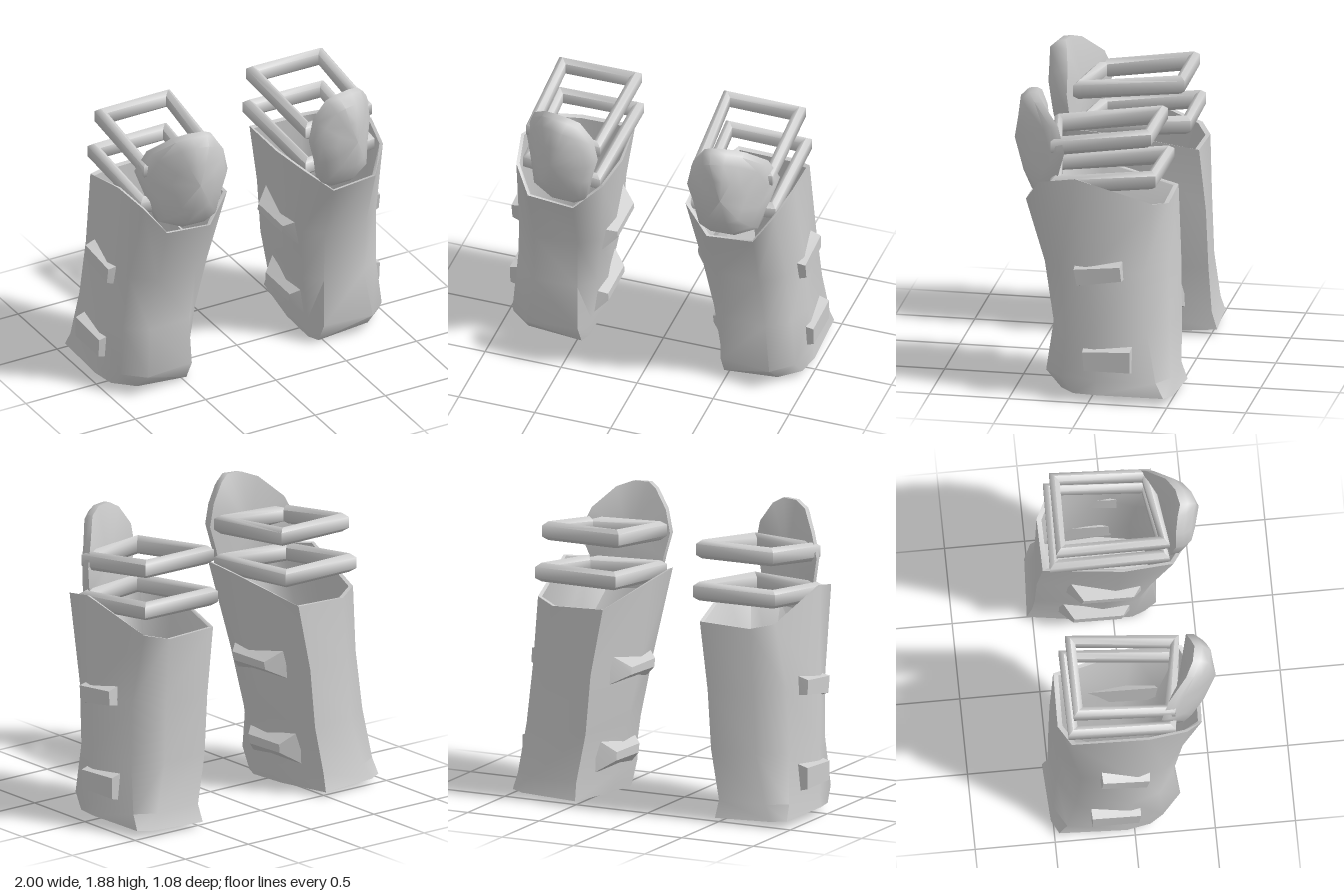
import * as THREE from 'three';
import { toCreasedNormals } from 'three/addons/utils/BufferGeometryUtils.js';

const armour = new THREE.MeshStandardMaterial({ color: 0xcccccc });
armour.name = 'light grey armour';

// Skin a closed solid over rings of [x, y, z]; ends are capped, or joined when loop is set.
function loft(rings, side, { loop = false, crease = 0.9, capA, capB } = {}) {
  const n = rings[0].length, m = rings.length;
  const pts = rings.flat().map(p => [p[0] * side, p[1], p[2]]);
  const index = [];
  for (let r = 0; r < (loop ? m : m - 1); r++) {
    for (let i = 0; i < n; i++) {
      const j = (i + 1) % n, s = ((r + 1) % m) * n;
      index.push(r * n + i, r * n + j, s + j, r * n + i, s + j, s + i);
    }
  }
  if (!loop) {
    const mean = ring => [0, 1, 2].map(k => ring.reduce((a, p) => a + p[k], 0) / n);
    const cap = (ring, start, centre, flip) => {
      const c = centre || mean(ring);
      const id = pts.push([c[0] * side, c[1], c[2]]) - 1;
      for (let i = 0; i < n; i++) {
        const a = start + i, b = start + (i + 1) % n;
        flip ? index.push(id, b, a) : index.push(id, a, b);
      }
    };
    cap(rings[0], 0, capA, true);
    cap(rings[m - 1], (m - 1) * n, capB, false);
  }
  // Turn the faces outward, whichever side is built
  let volume = 0;
  const v = pts.map(p => new THREE.Vector3(...p));
  for (let i = 0; i < index.length; i += 3) {
    volume += v[index[i]].dot(v[index[i + 1]].clone().cross(v[index[i + 2]]));
  }
  if (volume < 0) index.reverse();
  const g = new THREE.BufferGeometry();
  g.setAttribute('position', new THREE.Float32BufferAttribute(pts.flat(), 3));
  g.setIndex(index);
  return toCreasedNormals(g, crease);
}

// Shin shell sections: front, round the outside to the back, then the inside
const base = [[.47, .005, .2], [.82, .035, .2], [.95, .045, .1], [.98, .05, -.05], [.96, .045, -.47],
  [.87, .04, -.515], [.49, .03, -.535], [.44, .01, -.15], [.44, 0, .12]];
const level = (y, xz) => xz.map(([x, z]) => [x, y, z]);
const ankle = level(.14, [[.47, .27], [.8, .3], [.93, .18], [.97, -.05], [.95, -.42], [.82, -.495],
  [.5, -.5], [.415, -.1], [.425, .14]]);
const calf = level(.45, [[.48, .25], [.76, .26], [.9, .16], [.957, -.02], [.92, -.36], [.74, -.47],
  [.44, -.49], [.37, -.05], [.385, .15]]);
const shin = level(.83, [[.46, .3], [.74, .32], [.88, .2], [.94, .02], [.89, -.33], [.72, -.46],
  [.41, -.48], [.31, 0], [.335, .22]]);
const rim = [[.44, 1.21, .45], [.74, 1.23, .44], [.85, 1.38, .34], [.9, 1.43, .1], [.83, 1.27, -.38],
  [.69, 1.24, -.455], [.34, 1.25, -.45], [.25, 1.35, .05], [.27, 1.36, .36]];

// Shrink a section toward its centre for the inner wall
function inset(ring, k, y) {
  const cx = ring.reduce((a, p) => a + p[0], 0) / ring.length;
  const cz = ring.reduce((a, p) => a + p[2], 0) / ring.length;
  return ring.map(p => [cx + (p[0] - cx) * k, y ?? p[1] - 0.005, cz + (p[2] - cz) * k]);
}

// Knee pad outline, leaning back toward the outside
const padRim = [[.47, 1.875, .42], [.57, 1.875, .4], [.66, 1.84, .35], [.77, 1.72, .23], [.83, 1.57, .18],
  [.78, 1.4, .23], [.74, 1.25, .28], [.6, 1.2, .33], [.45, 1.21, .35], [.37, 1.25, .35],
  [.34, 1.42, .37], [.3, 1.57, .38], [.33, 1.72, .38], [.41, 1.84, .4]];
const padRing = (k, z) => padRim.map(p => [.56 + (p[0] - .56) * k, 1.53 + (p[1] - 1.53) * k, z(p[2])]);

// Tilted strap: a six-sided bar following four corners
function strap(corners, side) {
  const section = [[-.03, -.035], [-.03, .035], [0, .06], [.03, .035], [.03, -.035], [0, -.06]];
  const rings = corners.map(([x, y, z], i) => {
    const sx = i === 0 || i === 3 ? -1 : 1, sz = i < 2 ? -1 : 1;
    return section.map(([d, h]) => [x + sx * d, y + h, z + sz * d]);
  });
  return loft(rings, side, { loop: true, crease: 1.1 });
}

// Raised block on the shell; corners are [z, y], narrowing away from the shell
function block(corners, x0, x1, k, side) {
  const cz = corners.reduce((a, c) => a + c[0], 0) / 4;
  const cy = corners.reduce((a, c) => a + c[1], 0) / 4;
  const ring = (x, kz, ky) => corners.map(([z, y]) => [x, cy + (y - cy) * ky, cz + (z - cz) * kz]);
  return loft([ring(x0, 1, 1), ring(x1, k[0], k[1])], side, { crease: 0.7 });
}

function buildGuard(side) {
  const guard = new THREE.Group();
  guard.name = side > 0 ? 'leftLegGuard' : 'rightLegGuard';
  const add = (name, geometry) => {
    const mesh = new THREE.Mesh(geometry, armour);
    mesh.name = name;
    guard.add(mesh);
  };

  // Hollow shin shell with a floor
  add('shinShell', loft([base, ankle, calf, shin, rim,
    inset(rim, .94), inset(shin, .92), inset(calf, .92), inset(ankle, .9, .12)], side, { crease: 1 }));

  // Domed knee pad with a stepped lip
  add('kneePad', loft([padRim, padRing(.98, z => z + .05), padRing(.84, z => z + .1),
    padRing(.5, z => z * .5 + .32)], side,
  { crease: 0.95, capA: [.56, 1.53, .31], capB: [.56, 1.57, .545] }));

  // Two straps behind the knee
  add('upperStrap', strap([[.3, 1.685, -.34], [.78, 1.685, -.335], [.78, 1.6, .24], [.33, 1.6, .31]], side));
  add('lowerStrap', strap([[.3, 1.425, -.38], [.81, 1.425, -.37], [.8, 1.35, .24], [.33, 1.35, .31]], side));

  // Strap anchors on the outside and tapered ridges on the inside
  add('upperOuterAnchor', block([[.1, .87], [-.2, .91], [-.21, .79], [.08, .73]], .9, .967, [.97, .75], side));
  add('lowerOuterAnchor', block([[.04, .35], [-.27, .37], [-.27, .19], [.03, .19]], .92, .998, [.97, .75], side));
  add('upperInnerRidge', block([[.2, .9], [-.28, .92], [-.3, .74], [.18, .69]], .37, .265, [.65, .25], side));
  add('lowerInnerRidge', block([[.14, .37], [-.33, .39], [-.34, .18], [.12, .14]], .45, .345, [.65, .25], side));
  return guard;
}

export function createModel() {
  const model = new THREE.Group();
  model.name = 'legGuards';
  for (const side of [1, -1]) model.add(buildGuard(side));
  return model;
}
